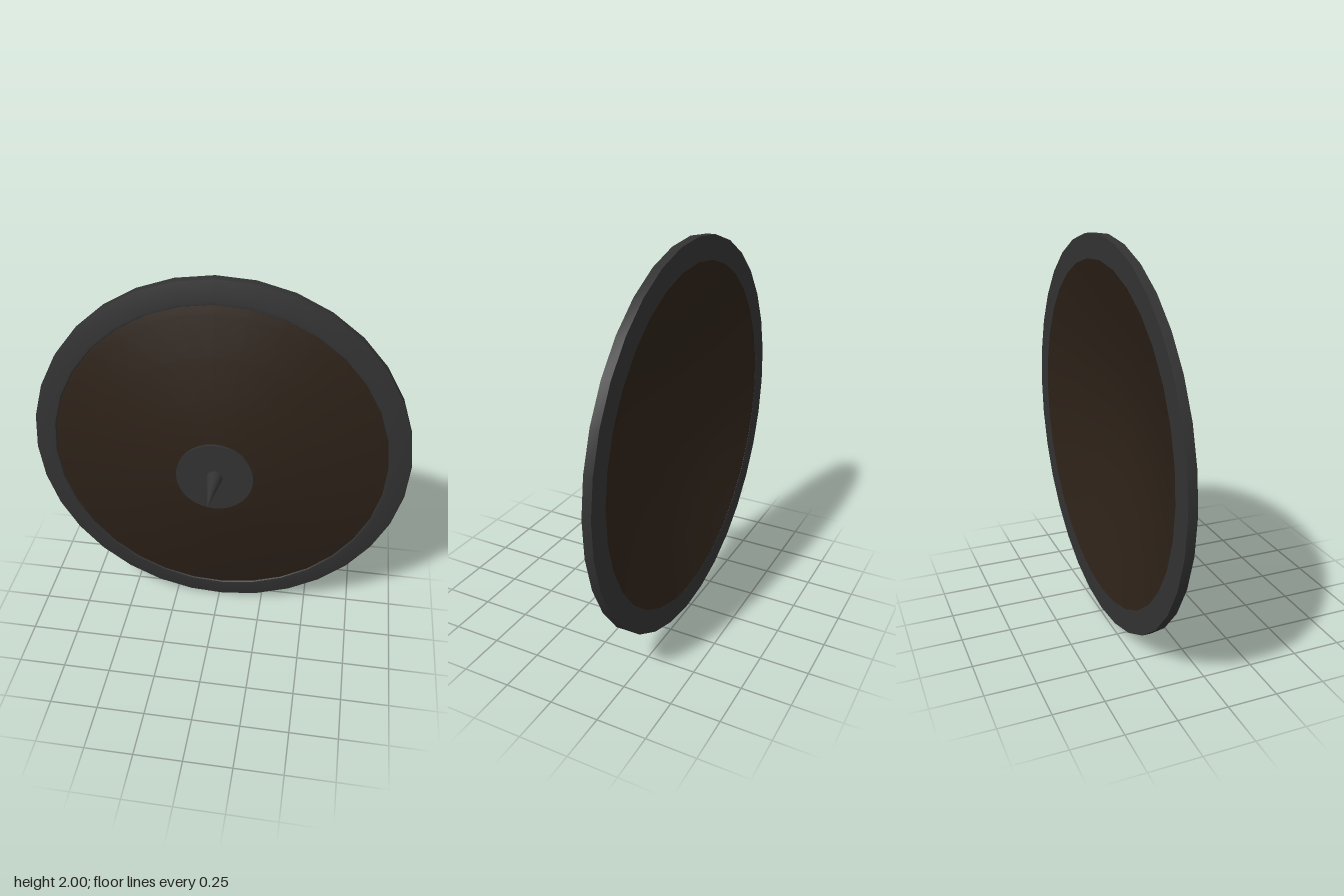
import * as THREE from 'three';
import { toCreasedNormals } from 'three/addons/utils/BufferGeometryUtils.js';

const SIDES = 32;
const iron = new THREE.MeshStandardMaterial({ color: 0x323232 });
const wood = new THREE.MeshStandardMaterial({ color: 0x2c2118 });

// Turns a [radius, z] profile about the forward axis; corners run counterclockwise.
function turned(name, profile, material, sides = SIDES) {
  const points = profile.map(([r, z]) => new THREE.Vector2(r, z));
  const geometry = new THREE.LatheGeometry(points, sides).rotateX(Math.PI / 2);
  const mesh = new THREE.Mesh(toCreasedNormals(geometry, 0.5), material);
  mesh.name = name;
  return mesh;
}

export function createModel() {
  const shield = new THREE.Group();
  shield.name = 'roundShield';

  // Domed board: hollow back, then convex front
  shield.add(turned('board', [
    [0, -0.055], [0.22, -0.065], [0.43, -0.105], [0.64, -0.158], [0.88, -0.234],
    [0.9, -0.21], [0.9, -0.175],
    [0.84, -0.155], [0.64, -0.102], [0.43, -0.051], [0.2, -0.008], [0, -0.003],
  ], wood));

  // Metal band around the edge, with a sloped front
  shield.add(turned('rim', [
    [0.88, -0.235], [1, -0.235], [1, -0.19], [0.9, -0.162],
    [0.885, -0.162], [0.878, -0.175], [0.88, -0.235],
  ], iron));

  // Flat boss plate and its spike
  shield.add(turned('boss', [[0, -0.02], [0.2, -0.02], [0.2, 0.004], [0, 0.004]], iron));
  shield.add(turned('spike', [[0.043, 0], [0, 0.245]], iron, 16));

  // The shield sits slightly turned
  shield.rotation.set(0, 0.015, 0.03);
  shield.position.y = 1;

  const model = new THREE.Group();
  model.add(shield);
  return model;
}
